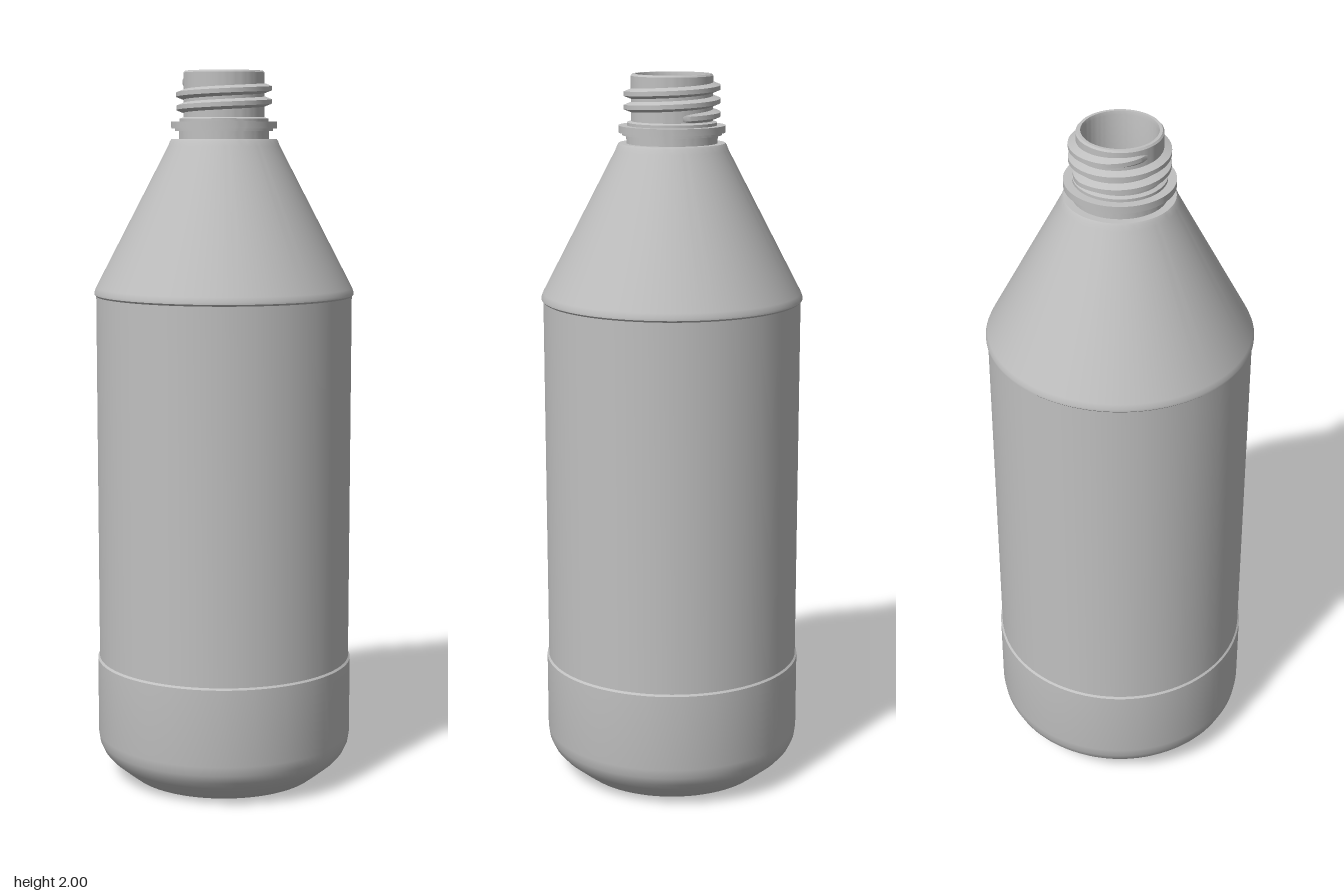
import * as THREE from 'three';
import { toCreasedNormals } from 'three/addons/utils/BufferGeometryUtils.js';

const plastic = new THREE.MeshStandardMaterial({ color: 0xc0c0c0 });
plastic.name = 'grey plastic';

// Turned part with smooth walls and sharp steps
function turned(name, profile) {
  const points = profile.map(([r, y]) => new THREE.Vector2(r, y));
  const geometry = toCreasedNormals(new THREE.LatheGeometry(points, 96), 0.45);
  const mesh = new THREE.Mesh(geometry, plastic);
  mesh.name = name;
  return mesh;
}

// Helical ridge with a trapezoid section that fades into the neck at both ends
function threadGeometry({ core, crest, y0, pitch, turns }) {
  const steps = Math.round(turns * 72);
  const section = [[0, -0.015], [1, -0.006], [1, 0.006], [0, 0.015]];
  const positions = [];
  const index = [];
  for (let i = 0; i <= steps; i++) {
    const turn = (i / steps) * turns;
    const angle = turn * Math.PI * 2 + 1.9;
    const fade = Math.min(1, turn / 0.15, (turns - turn) / 0.15);
    for (const [out, dy] of section) {
      const r = out ? core + (crest - core) * fade : core - 0.003;
      positions.push(r * Math.sin(angle), y0 + pitch * turn + dy, r * Math.cos(angle));
    }
    if (i === steps) continue;
    for (let k = 0; k < 3; k++) {
      const a = i * 4 + k;
      index.push(a, a + 4, a + 1, a + 1, a + 4, a + 5);
    }
  }
  const geometry = new THREE.BufferGeometry();
  geometry.setAttribute('position', new THREE.Float32BufferAttribute(positions, 3));
  geometry.setIndex(index);
  return toCreasedNormals(geometry, 0.5);
}

export function createModel() {
  const group = new THREE.Group();
  group.name = 'bottle';

  // Outer wall: hollow base, rounded heel, label recess, shoulder cone and neck
  group.add(turned('outerShell', [
    [0, 0.045], [0.08, 0.042], [0.15, 0.032], [0.21, 0.016], [0.245, 0.002], [0.255, 0],
    [0.268, 0.003], [0.29, 0.02], [0.33, 0.053], [0.348, 0.074], [0.359, 0.098], [0.363, 0.125],
    [0.363, 0.342], [0.358, 0.347],
    [0.358, 1.381], [0.363, 1.386], [0.363, 1.392], [0.358, 1.405],
    [0.155, 1.795], [0.15, 1.808], [0.146, 1.814], [0.125, 1.814],
    [0.125, 1.836], [0.136, 1.836], [0.136, 1.843], [0.146, 1.843], [0.146, 1.862], [0.123, 1.862],
    [0.123, 1.87], [0.112, 1.874], [0.112, 1.995], [0.108, 2], [0.1, 2],
  ]));

  // Inner wall, seen through the open mouth
  group.add(turned('innerShell', [
    [0.1, 2], [0.098, 1.99], [0.098, 1.82], [0.13, 1.795], [0.343, 1.395], [0.343, 0.13],
    [0.32, 0.075], [0.26, 0.03], [0.21, 0.036], [0.15, 0.052], [0.08, 0.062], [0, 0.065],
  ]));

  // Screw thread around the neck
  const thread = new THREE.Mesh(
    threadGeometry({ core: 0.112, crest: 0.132, y0: 1.885, pitch: 0.036, turns: 2.4 }),
    plastic
  );
  thread.name = 'screwThread';
  group.add(thread);

  return group;
}
